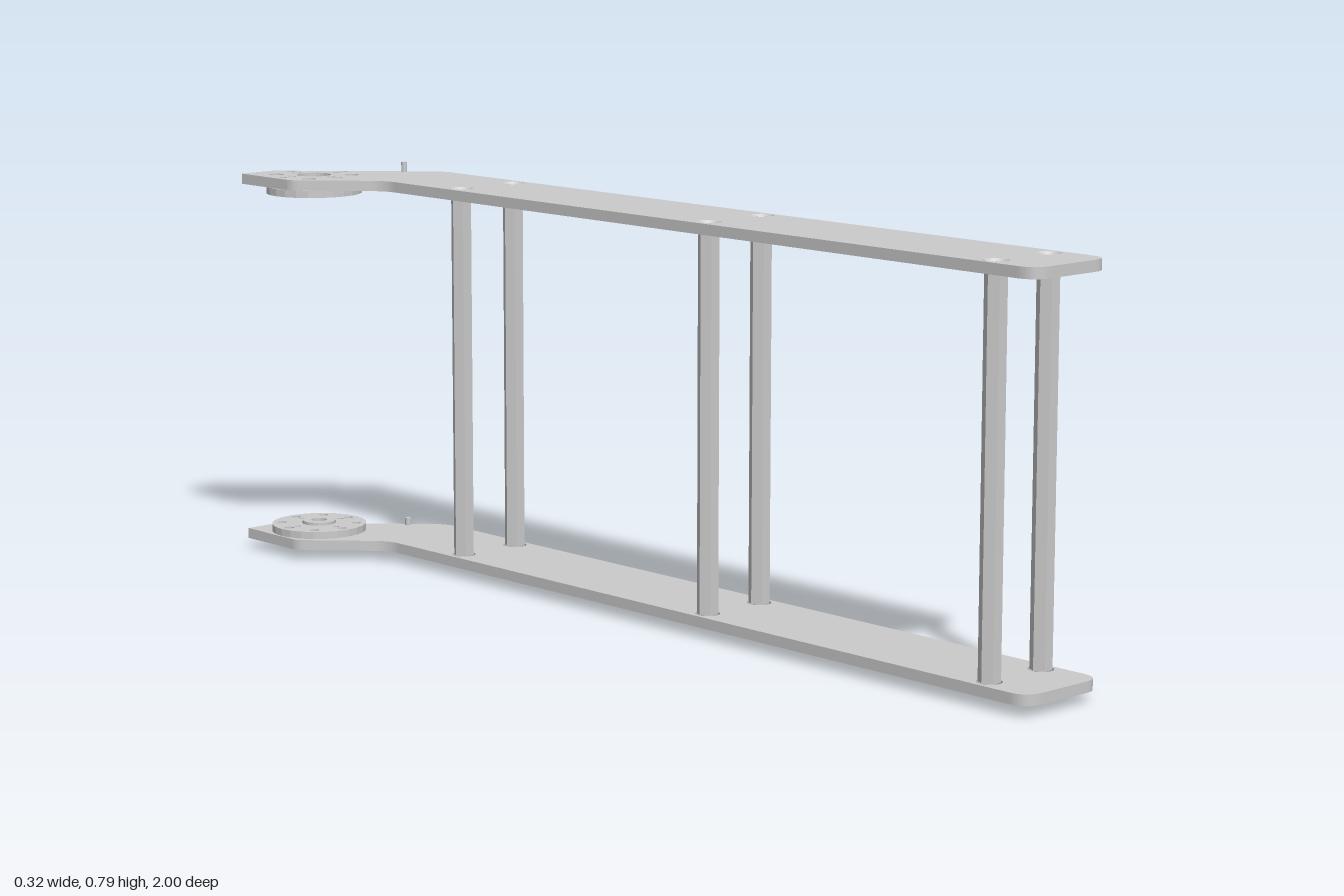
import * as THREE from 'three';

const HEIGHT = 0.789;
const HORN = { x: -0.067, z: -0.888 };      // centre of the round horn
const POST_X = [-0.001, 0.132];
const POST_Z = [0.888, 0.19, -0.508];
const PLATE_Y = 0.02, PLATE_T = 0.0205;
const material = new THREE.MeshStandardMaterial({ color: 0xcccccc, side: THREE.DoubleSide });

// closed outline from [x, z, cornerRadius] points
function roundedOutline(points) {
  const shape = new THREE.Shape();
  const n = points.length;
  points.forEach(([x, z, r = 0], i) => {
    const p = new THREE.Vector2(x, z);
    const towards = ([a, b]) => new THREE.Vector2(a, b).sub(p).setLength(r).add(p);
    const a = r ? towards(points[(i + n - 1) % n]) : p;
    const b = r ? towards(points[(i + 1) % n]) : p;
    if (i === 0) shape.moveTo(a.x, a.y); else shape.lineTo(a.x, a.y);
    if (r) shape.quadraticCurveTo(p.x, p.y, b.x, b.y);
  });
  shape.closePath();
  return shape;
}

function circle(x, z, r) {
  const shape = new THREE.Shape();
  shape.absarc(x, z, r, 0, Math.PI * 2, false);
  return shape;
}

// flat part lying in the x-z plane, filling y to y + height
function slab(name, shape, y, height) {
  const geometry = new THREE.ExtrudeGeometry(shape, { depth: height, bevelEnabled: false, curveSegments: 12 });
  geometry.rotateX(Math.PI / 2).translate(0, y + height, 0);
  const mesh = new THREE.Mesh(geometry, material);
  mesh.name = name;
  return mesh;
}

// ring of holes around the horn centre
function hornHoles(shape, count, distance, r, startAngle, skip = -1) {
  for (let i = 0; i < count; i++) {
    if (i === skip) continue;
    const a = startAngle + (i / count) * Math.PI * 2;
    shape.holes.push(circle(HORN.x + distance * Math.cos(a), HORN.z + distance * Math.sin(a), r));
  }
}

function plateShape() {
  // half-open screw hole on the slanted edge
  const notch = [];
  for (let i = 0; i <= 8; i++) {
    const a = THREE.MathUtils.degToRad(88 + (94 * i) / 8);
    notch.push([HORN.x + 0.0537 + 0.014 * Math.cos(a), HORN.z - 0.0537 + 0.014 * Math.sin(a)]);
  }
  const shape = roundedOutline([
    [-0.031, 0.9999, 0.04], [0.161, 0.9999, 0.04],
    [0.161, -0.755, 0.03], [0.03, -0.885, 0.008],
    ...notch,
    [-0.083, -1], [-0.163, -1], [-0.163, -0.84, 0.015], [-0.031, -0.705, 0.03],
  ]);
  shape.holes.push(circle(HORN.x, HORN.z, 0.034));
  hornHoles(shape, 4, 0.076, 0.014, Math.PI / 4, 3);
  hornHoles(shape, 4, 0.077, 0.008, 0);
  hornHoles(shape, 4, 0.056, 0.008, 0);
  for (const x of POST_X) for (const z of POST_Z) shape.holes.push(circle(x, z, 0.023));
  return shape;
}

// plate with its horn, pin and countersinks; the upper side mirrors the lower
function buildSide(upper) {
  const side = new THREE.Group();
  side.name = upper ? 'upperSide' : 'lowerSide';
  const add = (name, shape, y, h) => side.add(slab(name, shape, upper ? HEIGHT - y - h : y, h));

  add('sidePlate', plateShape(), PLATE_Y, PLATE_T);

  const disc = circle(HORN.x, HORN.z, 0.096);
  disc.holes.push(circle(HORN.x, HORN.z, 0.03));
  hornHoles(disc, 8, 0.076, 0.009, 0);
  hornHoles(disc, 4, 0.055, 0.006, 0);
  add('hornDisc', disc, PLATE_Y + PLATE_T + 0.001, 0.0145);

  const hub = circle(HORN.x, HORN.z, 0.034);
  hub.holes.push(circle(HORN.x, HORN.z, 0.016));
  add('hornHub', hub, 0.038, 0.024);

  add('stopPin', circle(0.098, -0.804, 0.006), 0, 0.056);

  // countersunk screw seats
  for (const x of POST_X) for (const z of POST_Z) {
    const profile = [[0.023, 0], [0.011, 0.012], [0.011, PLATE_T]].map(([r, y]) => new THREE.Vector2(r, y));
    const seat = new THREE.Mesh(new THREE.LatheGeometry(profile, 20), material);
    seat.name = 'screwSeat';
    seat.position.set(x, upper ? HEIGHT - PLATE_Y : PLATE_Y, z);
    if (upper) seat.rotation.x = Math.PI;
    side.add(seat);
  }
  return side;
}

export function createModel() {
  const model = new THREE.Group();
  model.name = 'linkFrame';
  model.add(buildSide(false), buildSide(true));

  // hollow hexagonal spacer posts
  const y = PLATE_Y + PLATE_T;
  for (const x of POST_X) for (const z of POST_Z) {
    const corners = [];
    for (let i = 0; i < 6; i++) {
      const a = (i * Math.PI) / 3;
      corners.push([x + 0.0205 * Math.cos(a), z + 0.0205 * Math.sin(a)]);
    }
    const hex = roundedOutline(corners);
    hex.holes.push(circle(x, z, 0.011));
    model.add(slab('spacerPost', hex, y, HEIGHT - 2 * y));
  }
  return model;
}
